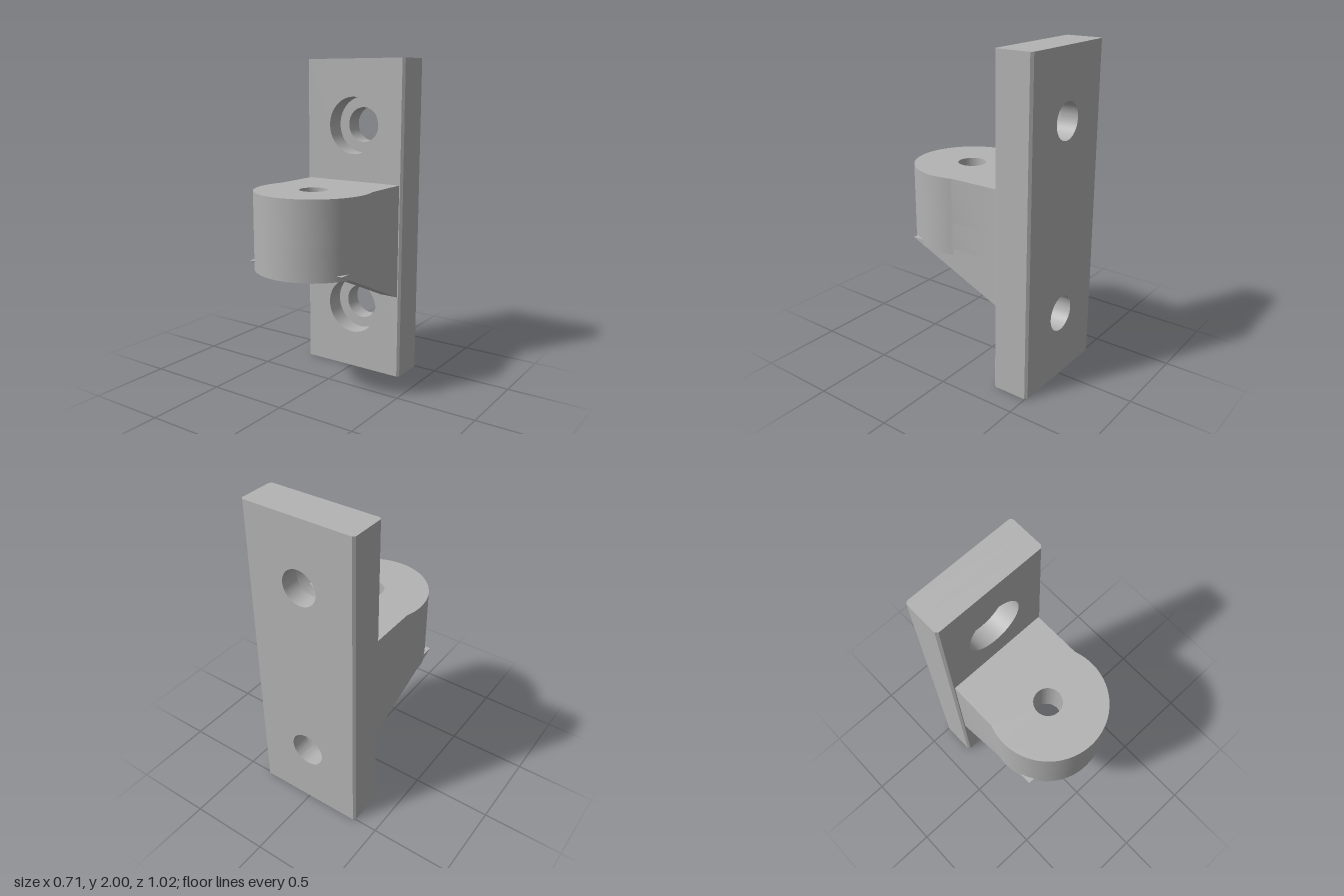
import * as THREE from 'three';
import { toCreasedNormals } from 'three/addons/utils/BufferGeometryUtils.js';

const grey = new THREE.MeshStandardMaterial({ color: 0xb3b3b3 });
grey.name = 'plain grey';

const HALF = 0.353;      // half width of plate and radius of lug
const BACK = -0.51, FACE = -0.275;
const CHAMFER = 0.014;

function extrude(shape, depth) {
  return new THREE.ExtrudeGeometry(shape, { depth, bevelEnabled: false, curveSegments: 40 });
}

function addMesh(group, name, geometry) {
  const mesh = new THREE.Mesh(toCreasedNormals(geometry, 0.5), grey);
  mesh.name = name;
  group.add(mesh);
}

function circleHole(x, y, r) {
  return new THREE.Path().absarc(x, y, r, 0, Math.PI * 2, true);
}

// One layer of the plate; narrowZ is the outer face whose side edges are chamfered
function plateLayer(z0, z1, holeRadius, narrowZ) {
  const shape = new THREE.Shape([
    new THREE.Vector2(-HALF, 0), new THREE.Vector2(HALF, 0),
    new THREE.Vector2(HALF, 2), new THREE.Vector2(-HALF, 2),
  ]);
  for (const y of [0.415, 1.59]) shape.holes.push(circleHole(0, y, holeRadius));
  const geo = extrude(shape, z1 - z0).translate(0, 0, z0);
  const pos = geo.attributes.position;
  for (let i = 0; i < pos.count; i++) {
    const x = pos.getX(i);
    if (narrowZ !== undefined && Math.abs(pos.getZ(i) - narrowZ) < 1e-4 && Math.abs(x) > HALF - 0.001) {
      pos.setX(i, Math.sign(x) * (HALF - CHAMFER));
    }
  }
  return geo;
}

// One layer of the lug: straight sides running into a round nose
function lugLayer(y0, y1, hole) {
  const cz = 0.155, side = 0.333;
  const a = Math.acos(side / HALF);
  const shape = new THREE.Shape();
  shape.moveTo(side, -FACE);
  shape.lineTo(-side, -FACE);
  shape.absarc(0, -cz, HALF, Math.PI - a, Math.PI * 2 + a, false);
  shape.closePath();
  shape.holes.push(hole);
  return extrude(shape, y1 - y0).rotateX(-Math.PI / 2).translate(0, y0, 0);
}

export function createModel() {
  const model = new THREE.Group();
  model.name = 'mountingBracket';

  // Wall plate with counterbored screw holes
  const plate = new THREE.Group();
  plate.name = 'wallPlate';
  const ledge = -0.395;
  addMesh(plate, 'plateFront', plateLayer(FACE - CHAMFER, FACE, 0.178, FACE));
  addMesh(plate, 'plateCounterbore', plateLayer(ledge, FACE - CHAMFER, 0.178));
  addMesh(plate, 'plateScrewHole', plateLayer(BACK + CHAMFER, ledge, 0.11));
  addMesh(plate, 'plateBack', plateLayer(BACK, BACK + CHAMFER, 0.11, BACK));
  model.add(plate);

  // Lug with a pin hole above and a hexagonal nut pocket below
  const lug = new THREE.Group();
  lug.name = 'lug';
  const hexagon = new THREE.Path();
  hexagon.setFromPoints(Array.from({ length: 7 }, (_, i) => {
    const t = -i * Math.PI / 3;
    return new THREE.Vector2(0.19 * Math.cos(t), -0.155 + 0.19 * Math.sin(t));
  }));
  addMesh(lug, 'lugNutPocket', lugLayer(0.77, 0.97, hexagon));
  addMesh(lug, 'lugTop', lugLayer(0.97, 1.24, circleHole(0, -0.155, 0.085)));
  model.add(lug);

  // Sloping ribs under both sides of the lug
  const ribShape = new THREE.Shape([
    new THREE.Vector2(-FACE, 0.53), new THREE.Vector2(-FACE, 0.805), new THREE.Vector2(-0.352, 0.805),
  ]);
  for (const [name, x] of [['leftRib', 0.215], ['rightRib', -0.333]]) {
    addMesh(model, name, extrude(ribShape, 0.118).rotateY(Math.PI / 2).translate(x, 0, 0));
  }
  return model;
}
